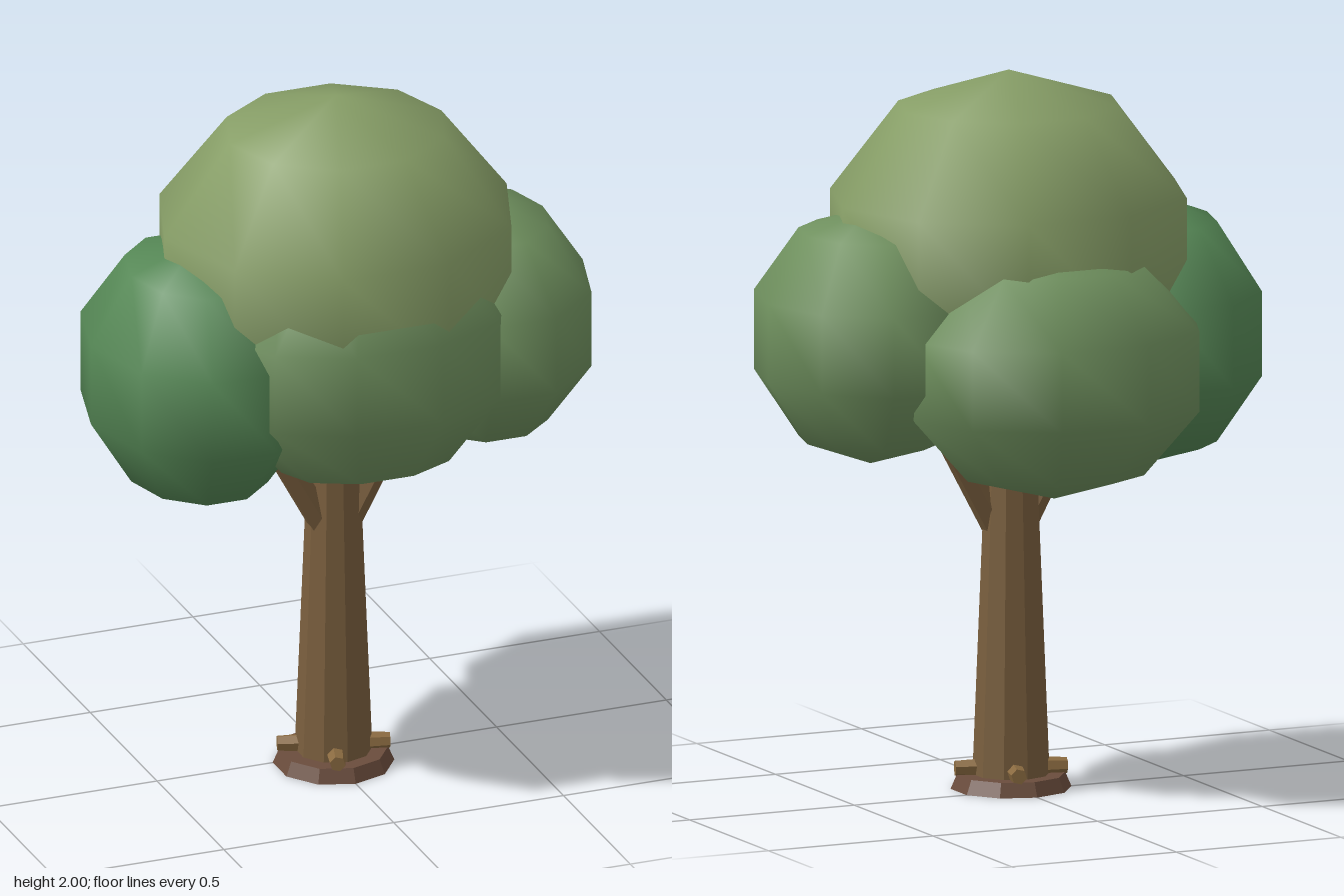
import * as THREE from 'three';

const Z = 0.05; // depth of the trunk axis

function part(name, geometry, color, flat = false) {
  const mesh = new THREE.Mesh(geometry, new THREE.MeshStandardMaterial({ color, flatShading: flat }));
  mesh.name = name;
  return mesh;
}

// Low-poly leaf ball stretched to an ellipsoid
function leafBall(name, center, radii, color) {
  const ball = part(name, new THREE.SphereGeometry(1, 10, 5), color);
  ball.position.set(...center);
  ball.scale.set(...radii);
  return ball;
}

// Tapered limb between two points
function limb(name, from, to, r0, r1, sides, color) {
  const a = new THREE.Vector3(...from), b = new THREE.Vector3(...to);
  const dir = b.clone().sub(a);
  const mesh = part(name, new THREE.CylinderGeometry(r1, r0, dir.length(), sides), color, true);
  mesh.position.copy(a).add(b).multiplyScalar(0.5);
  mesh.quaternion.setFromUnitVectors(new THREE.Vector3(0, 1, 0), dir.normalize());
  return mesh;
}

export function createModel() {
  const tree = new THREE.Group();
  tree.name = 'tree';
  const bark = 0x7a5f3e, leaf = 0x6f905e;

  // Ground collar, trunk and the two forked branches
  const collar = part('baseCollar', new THREE.CylinderGeometry(0.15, 0.167, 0.04, 10), 0x6a4c3c, true);
  collar.position.set(0, 0.02, Z);
  tree.add(collar);
  tree.add(limb('trunk', [0, 0.005, Z], [0, 1.15, Z], 0.108, 0.062, 10, bark));
  for (const s of [-1, 1]) {
    tree.add(limb(s > 0 ? 'leftBranch' : 'rightBranch',
      [s * 0.04, 0.73, Z + 0.012], [s * 0.24, 1.09, Z + 0.012], 0.04, 0.036, 6, bark));
  }

  // Four stubby roots around the foot
  for (let i = 0; i < 4; i++) {
    const a = 0.3 + i * Math.PI / 2;
    const at = r => [Math.cos(a) * r, 0.058, Z + Math.sin(a) * r];
    tree.add(limb('root' + (i + 1), at(0.075), at(0.155), 0.027, 0.022, 6, 0x8a6a40));
  }

  // Foliage
  const foliage = new THREE.Group();
  foliage.name = 'foliage';
  foliage.add(
    leafBall('crown', [0, 1.5, 0.065], [0.53, 0.5, 0.503], 0x869d66),
    leafBall('rightFoliage', [-0.41, 1.248, 0.065], [0.326, 0.38, 0.409], 0x558755),
    leafBall('leftFoliage', [0.41, 1.29, 0.085], [0.326, 0.358, 0.387], leaf),
    leafBall('frontFoliage', [0, 1.312, 0.3], [0.43, 0.377, 0.275], leaf),
    leafBall('backFoliage', [0, 1.213, -0.225], [0.448, 0.36, 0.361], leaf),
  );
  tree.add(foliage);
  return tree;
}
